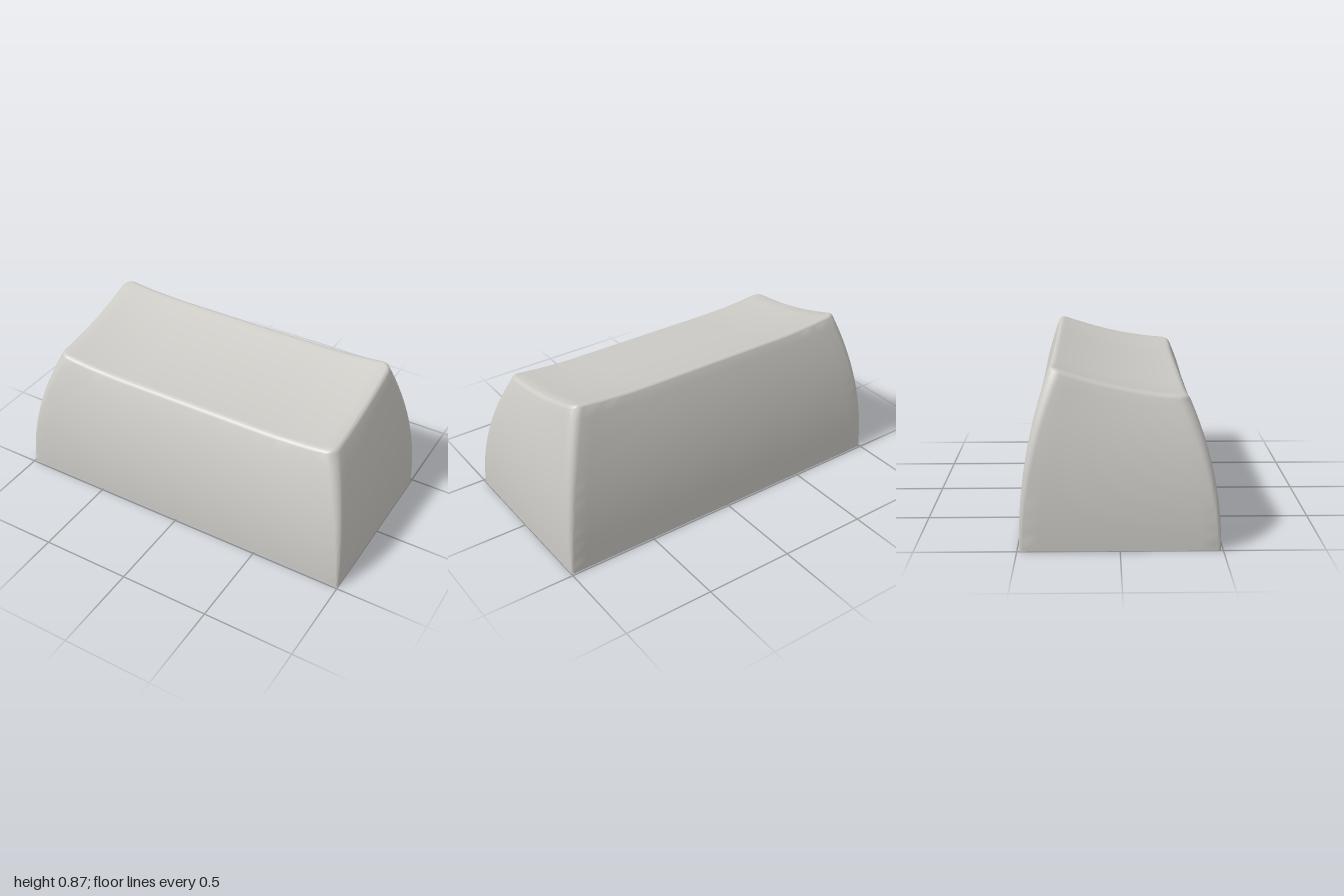
import * as THREE from 'three';
import { toCreasedNormals } from 'three/addons/utils/BufferGeometryUtils.js';

const HX = 1, HZ = 0.49;             // half size at the base
const RIM_X = 0.86, RIM_Z = 0.345;   // half size at the top rim
const FILLET = 0.03, FILLET_START = 0.35;
const ROOF = 0.55;                   // underside of the top

// Height of the dished, tilted top
function topHeight(x, z) {
  const k = THREE.MathUtils.clamp((Math.abs(x) - 0.42) / 0.41, 0, 1);
  return 0.78 - 0.215 * z + 0.24 * z * z - 0.027 * (1 - k * k);
}

// Rounded rectangle as [x, z] pairs, with subdivided sides
function ring(hx, hz, r) {
  const pts = [], ARC = 7;
  const signs = [[1, 1], [-1, 1], [-1, -1], [1, -1]];
  const corner = (q, i) => {
    const a = (q + i / ARC) * Math.PI / 2;
    return [signs[q][0] * (hx - r) + r * Math.cos(a), signs[q][1] * (hz - r) + r * Math.sin(a)];
  };
  for (let q = 0; q < 4; q++) {
    for (let i = 0; i <= ARC; i++) pts.push(corner(q, i));
    const a = corner(q, ARC), b = corner((q + 1) % 4, 0);
    const n = q % 2 ? 12 : 28;
    for (let i = 1; i < n; i++) {
      pts.push([THREE.MathUtils.lerp(a[0], b[0], i / n), THREE.MathUtils.lerp(a[1], b[1], i / n)]);
    }
  }
  return pts;
}

// Skin a sequence of rings that all have the same number of points
function loft(rings) {
  const n = rings[0].length, index = [];
  for (let j = 0; j < rings.length - 1; j++) {
    for (let i = 0; i < n; i++) {
      const a = j * n + i, b = j * n + (i + 1) % n;
      index.push(a, a + n, b, b, a + n, b + n);
    }
  }
  const g = new THREE.BufferGeometry();
  g.setAttribute('position', new THREE.Float32BufferAttribute(rings.flat(2), 3));
  g.setIndex(index);
  return toCreasedNormals(g, 0.6);
}

function shellGeometry() {
  const rings = [];
  const add = (pts, height) => rings.push(pts.map(([x, z], i) => [x, height(x, z, i), z]));

  // Hollow underside: roof, then inner walls down to the bottom edge
  add(ring(0.002, 0.002, 0.001), () => ROOF);
  add(ring(0.86, 0.365, 0.01), () => ROOF);
  add(ring(0.92, 0.415, 0.01), () => 0.28);
  add(ring(0.945, 0.437, 0.01), () => 0);

  // Bowed outer walls
  const rim = ring(RIM_X, RIM_Z, 0.06);
  const STEPS = 18;
  for (let s = 0; s <= STEPS; s++) {
    const t = s / STEPS, bow = Math.pow(t, 2.15);
    add(ring(HX - (HX - RIM_X) * bow, HZ - (HZ - RIM_Z) * bow, 0.015 + 0.045 * t),
      (x, z, i) => t * (topHeight(...rim[i]) - FILLET * (1 - Math.sin(FILLET_START))));
  }

  // Rounded rim
  let last;
  for (let s = 1; s <= 6; s++) {
    const a = THREE.MathUtils.lerp(FILLET_START, Math.PI / 2, s / 6);
    const inset = FILLET * (Math.cos(FILLET_START) - Math.cos(a));
    last = ring(RIM_X - inset, RIM_Z - inset, 0.06 - inset);
    add(last, (x, z) => topHeight(x, z) - FILLET * (1 - Math.sin(a)));
  }

  // Dished top, closing towards the centre
  for (let s = 15; s >= 0; s--) {
    const k = Math.max(s / 16, 0.001);
    add(last.map(([x, z]) => [x * k, z * k]), topHeight);
  }
  return loft(rings);
}

// Round post with a cross-shaped socket
function stemGeometry() {
  const shape = new THREE.Shape().absarc(0, 0, 0.146, 0, Math.PI * 2, false);
  const L = 0.112, W = 0.033;
  const cross = [[L, -W], [L, W], [W, W], [W, L], [-W, L], [-W, W],
    [-L, W], [-L, -W], [-W, -W], [-W, -L], [W, -L], [W, -W]];
  shape.holes.push(new THREE.Path(cross.map(([x, y]) => new THREE.Vector2(x, y))));
  const g = new THREE.ExtrudeGeometry(shape, { depth: ROOF + 0.01, bevelEnabled: false, curveSegments: 36 });
  g.rotateX(-Math.PI / 2);
  return toCreasedNormals(g, 0.6);
}

export function createModel() {
  const plastic = new THREE.MeshStandardMaterial({ color: 0xcccac5 });
  plastic.name = 'warm grey plastic';
  const model = new THREE.Group();
  model.name = 'keycap';

  const shell = new THREE.Mesh(shellGeometry(), plastic);
  shell.name = 'shell';
  model.add(shell);

  // Three mounting stems in a row
  const stem = stemGeometry();
  [['rightStem', -0.645], ['centreStem', 0], ['leftStem', 0.645]].forEach(([name, x]) => {
    const mesh = new THREE.Mesh(stem, plastic);
    mesh.name = name;
    mesh.position.x = x;
    model.add(mesh);
  });
  return model;
}
